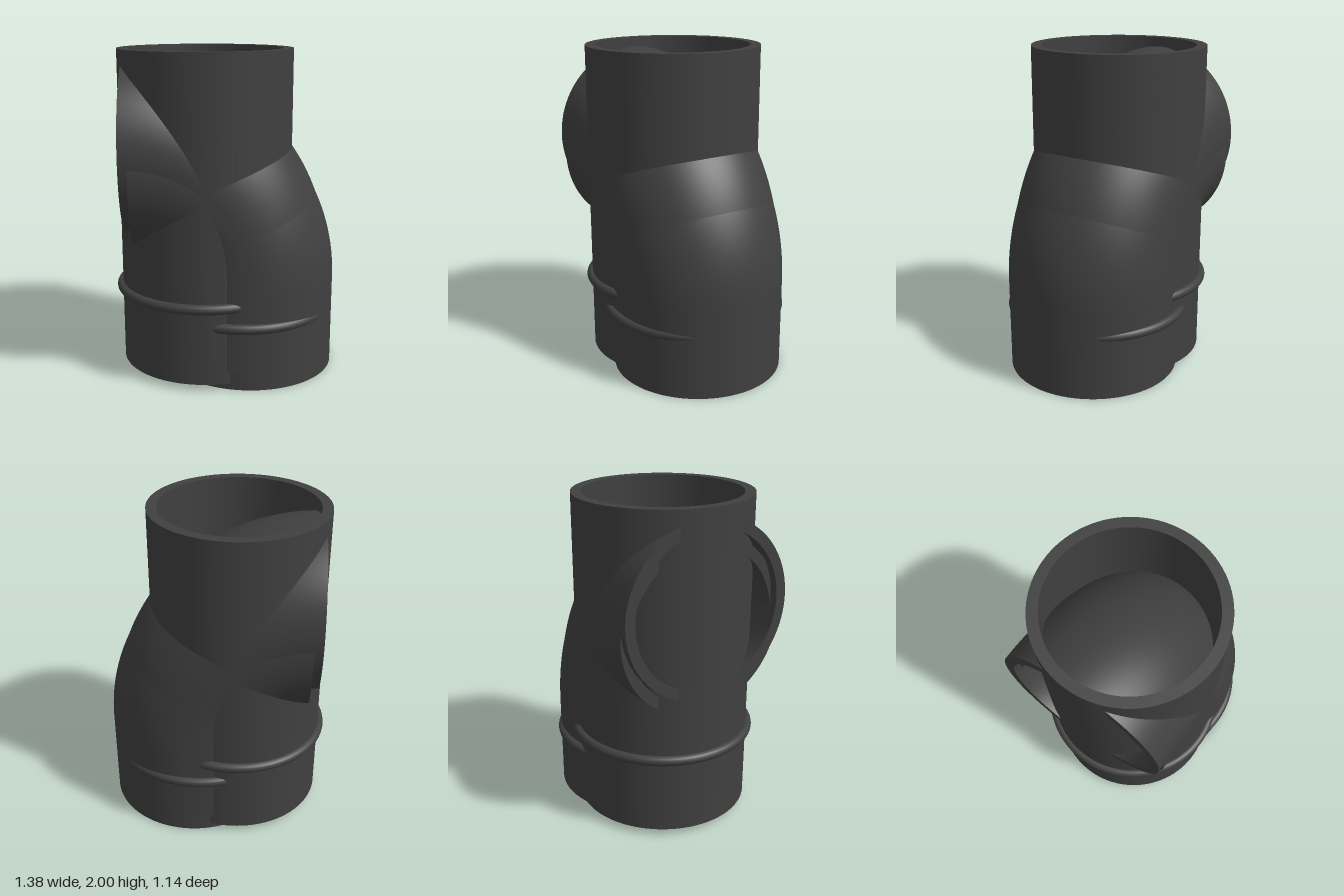
import * as THREE from 'three';

const OUTER = 0.535, INNER = 0.472, SIDES = 96;
const material = new THREE.MeshStandardMaterial({ color: 0x404040, side: THREE.DoubleSide });

function add(group, name, geometry) {
  const mesh = new THREE.Mesh(geometry, material);
  mesh.name = name;
  group.add(mesh);
  return mesh;
}

// Flat annulus closing a pipe wall; facing +y or -y
function rim(group, name, x, y, up) {
  const g = new THREE.RingGeometry(INNER, OUTER, SIDES);
  g.rotateX(up ? -Math.PI / 2 : Math.PI / 2).translate(x, y, 0);
  add(group, name, g);
}

// Outer and inner walls of a vertical pipe
function walls(group, x, y0, y1) {
  for (const [name, r] of [['outerWall', OUTER], ['innerWall', INNER]]) {
    const g = new THREE.CylinderGeometry(r, r, y1 - y0, SIDES, 1, true);
    add(group, name, g.translate(x, (y0 + y1) / 2, 0));
  }
}

// Rounded sealing bead around a vertical pipe
function bead(group, x, y) {
  const g = new THREE.TorusGeometry(0.54, 0.031, 16, SIDES);
  add(group, 'bead', g.rotateX(Math.PI / 2).translate(x, y, 0));
}

// Vertical leg followed by a quarter bend whose open end faces -x
function elbowPipe(name, legX, bottom, bendX, bendY) {
  const group = new THREE.Group();
  group.name = name;
  const R = legX - bendX;
  walls(group, legX, bottom, bendY);
  rim(group, 'bottomRim', legX, bottom, false);
  for (const [part, r] of [['outerBend', OUTER], ['innerBend', INNER]]) {
    const g = new THREE.TorusGeometry(R, r, SIDES, 64, Math.PI / 2);
    add(group, part, g.translate(bendX, bendY, 0));
  }
  const end = new THREE.RingGeometry(INNER, OUTER, SIDES);
  add(group, 'sideRim', end.rotateY(-Math.PI / 2).translate(bendX, bendY + R, 0));
  return group;
}

export function createModel() {
  const model = new THREE.Group();
  model.name = 'pipeJunction';

  // Straight upright pipe
  const straight = new THREE.Group();
  straight.name = 'straightPipe';
  walls(straight, -0.125, 0.04, 2);
  rim(straight, 'topRim', -0.125, 2, true);
  rim(straight, 'bottomRim', -0.125, 0.04, false);
  bead(straight, -0.125, 0.52);

  // Two slightly offset elbows crossing the straight pipe
  const lower = elbowPipe('lowerElbow', 0.15, 0, -0.57, 0.575);
  const upper = elbowPipe('upperElbow', 0.107, 0.11, -0.623, 0.675);
  bead(upper, 0.107, 0.395);

  model.add(straight, lower, upper);
  return model;
}
